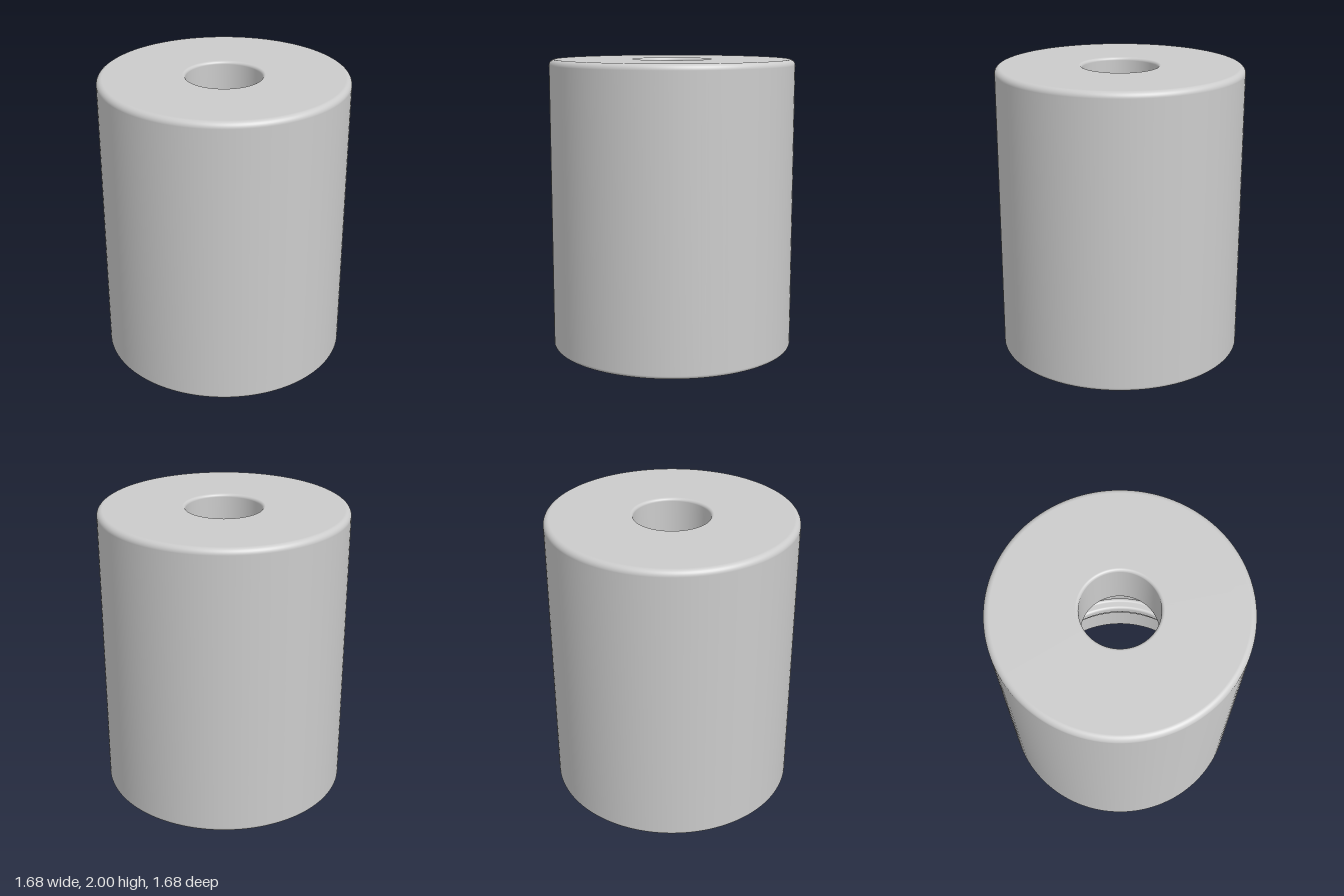
import * as THREE from 'three';

// Rounds every corner of a closed outline; each corner is [radius, height, fillet].
function roundedProfile(corners, steps = 8) {
  const points = [];
  const n = corners.length;
  const at = (i) => new THREE.Vector2(...corners[(i + n) % n].slice(0, 2));
  for (let i = 0; i < n; i++) {
    const p = at(i);
    const fillet = corners[i][2];
    const a = at(i - 1).sub(p).normalize().multiplyScalar(fillet).add(p);
    const b = at(i + 1).sub(p).normalize().multiplyScalar(fillet).add(p);
    // Quarter arc between the two tangent points
    for (let k = 0; k <= steps; k++) {
      const t = (k / steps) * Math.PI / 2;
      points.push(new THREE.Vector2(
        p.x + (a.x - p.x) * (1 - Math.sin(t)) + (b.x - p.x) * (1 - Math.cos(t)),
        p.y + (a.y - p.y) * (1 - Math.sin(t)) + (b.y - p.y) * (1 - Math.cos(t))
      ));
    }
  }
  points.push(points[0].clone());
  return points;
}

export function createModel() {
  const group = new THREE.Group();
  group.name = 'hollowCap';

  // Cross-section: outer wall, top plate with hole, stepped bore
  const section = [
    [0.838, 0, 0.025],
    [0.838, 2, 0.04],
    [0.255, 2, 0.02],     // top hole
    [0.255, 1.6, 0.02],
    [0.62, 1.6, 0.02],    // inner chamber
    [0.62, 0.72, 0.025],
    [0.69, 0.72, 0.025],  // groove
    [0.69, 0.56, 0.02],
    [0.62, 0.56, 0.02],   // retaining lip
    [0.62, 0.47, 0.03],
    [0.69, 0.47, 0.03],
    [0.69, 0.3, 0.012],   // shallow step
    [0.715, 0.3, 0.012],
    [0.715, 0, 0.025],    // mouth
  ];

  const body = new THREE.Mesh(
    new THREE.LatheGeometry(roundedProfile(section), 128),
    new THREE.MeshStandardMaterial({ color: 0xcccccc })
  );
  body.name = 'capBody';
  group.add(body);
  return group;
}
